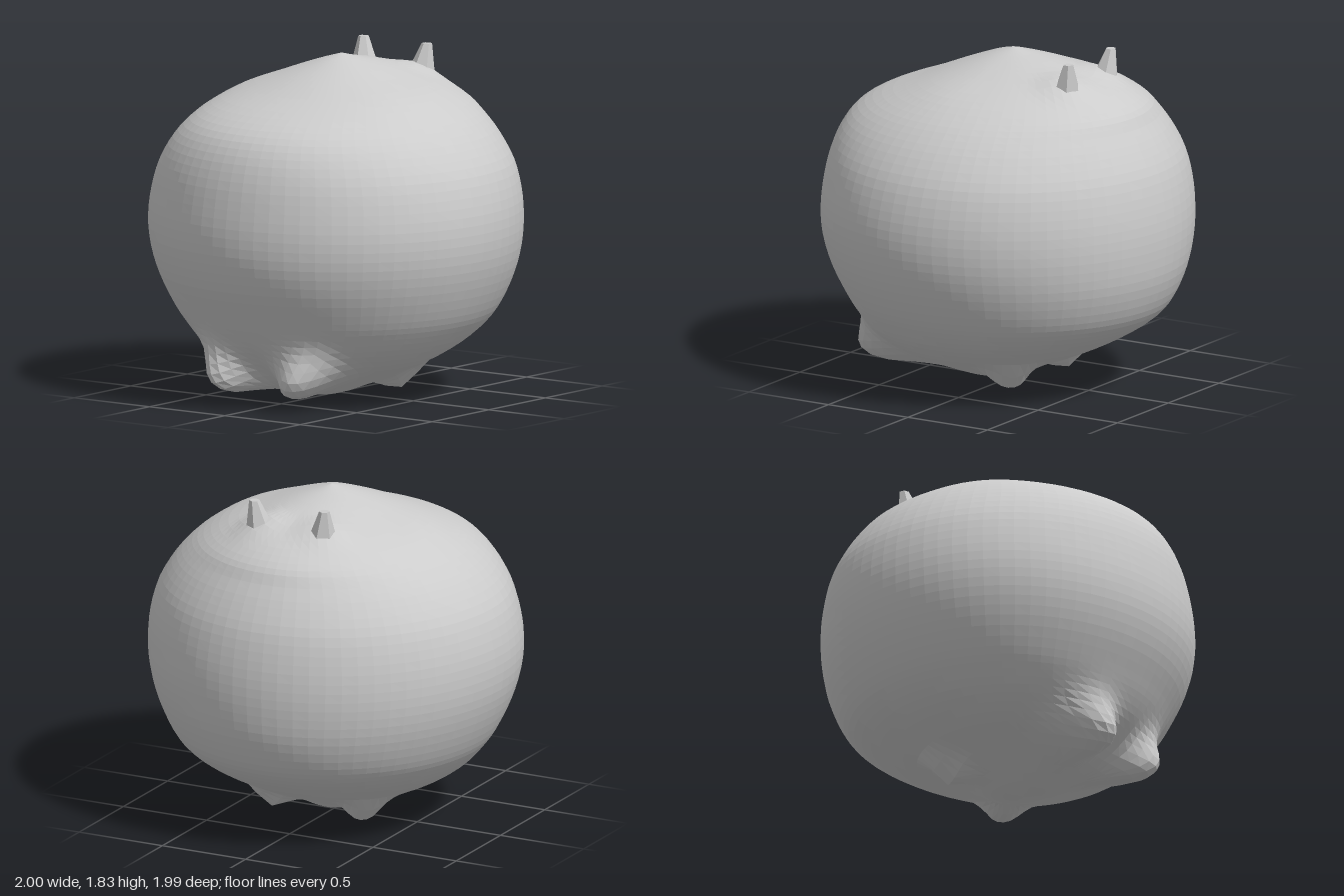
import * as THREE from 'three';

// Body outline: height, half width, front z, back z, z of the widest point
const ROWS = [
  [0.0, 0.0, 0.1, 0.1, 0.1],
  [0.03, 0.13, 0.3, -0.08, 0.1],
  [0.1, 0.3, 0.5, -0.22, 0.1],
  [0.2, 0.54, 0.64, -0.47, 0.08],
  [0.3, 0.7, 0.74, -0.67, 0.06],
  [0.4, 0.8, 0.81, -0.82, 0.04],
  [0.5, 0.87, 0.865, -0.9, 0.04],
  [0.65, 0.94, 0.94, -0.96, 0.04],
  [0.8, 0.985, 0.985, -0.985, 0.04],
  [0.95, 1.0, 0.995, -0.99, 0.04],
  [1.1, 0.985, 0.98, -0.975, 0.03],
  [1.25, 0.94, 0.95, -0.94, 0.02],
  [1.38, 0.86, 0.9, -0.88, 0.01],
  [1.48, 0.77, 0.82, -0.82, 0.0],
  [1.56, 0.67, 0.68, -0.77, 0.0],
  [1.64, 0.53, 0.47, -0.66, 0.0],
  [1.71, 0.34, 0.3, -0.5, -0.02],
  [1.76, 0.2, 0.17, -0.32, -0.03],
  [1.795, 0.09, 0.07, -0.14, -0.03],
  [1.82, 0.0, -0.03, -0.03, -0.03],
];

// Soft mirrored pushes: centre, reach on each axis, offset
const PUSHES = [
  { at: [0.25, 0.17, 0.54], reach: [0.15, 0.24, 0.17], by: [0, -0.08, 0.2] }, // front feet
  { at: [0.28, 0.14, -0.17], reach: [0.11, 0.12, 0.12], by: [0, -0.1, -0.02] }, // back feet
  { at: [0.19, 1.68, -0.47], reach: [0.13, 0.12, 0.13], by: [0, 0.03, 0] }, // horn bases
];

function createBody(material) {
  const column = (c) => new THREE.SplineCurve(ROWS.map((r, i) => new THREE.Vector2(i, r[c])));
  const curves = [0, 1, 2, 3, 4].map(column);
  const geometry = new THREE.SphereGeometry(1, 72, 57);
  const pos = geometry.attributes.position;
  const uv = geometry.attributes.uv;
  const p = new THREE.Vector3();

  for (let i = 0; i < pos.count; i++) {
    const [y, w, zf, zb, cz] = curves.map((c) => c.getPoint(uv.getY(i)).y);
    const angle = Math.atan2(pos.getX(i), pos.getZ(i));
    const c = Math.cos(angle);
    p.set(w * Math.sin(angle), y, cz + c * (c > 0 ? zf - cz : cz - zb));

    // Pull the feet and horn bases out of the round body
    const q = p.clone();
    for (const { at, reach, by } of PUSHES) {
      const d = Math.hypot(
        (Math.abs(p.x) - at[0]) / reach[0],
        (p.y - at[1]) / reach[1],
        (p.z - at[2]) / reach[2]
      );
      const k = Math.exp(-Math.pow(d, 2.6));
      q.x += by[0] * k * Math.sign(p.x);
      q.y += by[1] * k;
      q.z += by[2] * k;
    }
    pos.setXYZ(i, q.x, Math.max(q.y, 0), q.z);
  }
  geometry.computeVertexNormals();
  const body = new THREE.Mesh(geometry, material);
  body.name = 'body';
  return body;
}

// Blunt six-sided horn that leans outward and back
function createHorn(side, material) {
  const geometry = new THREE.CylinderGeometry(0.028, 0.088, 0.2, 6, 2);
  const pos = geometry.attributes.position;
  for (let i = 0; i < pos.count; i++) {
    const t = pos.getY(i) / 0.2 + 0.5;
    pos.setX(i, side * (0.18 + 0.03 * t) + pos.getX(i));
    pos.setZ(i, -0.475 - 0.03 * t + pos.getZ(i));
    pos.setY(i, 1.63 + 0.2 * t);
  }
  geometry.computeVertexNormals();
  const horn = new THREE.Mesh(geometry, material);
  horn.name = side > 0 ? 'leftHorn' : 'rightHorn';
  return horn;
}

export function createModel() {
  const model = new THREE.Group();
  model.name = 'roundCreature';
  const material = new THREE.MeshStandardMaterial({ color: 0xcccccc, flatShading: true });
  model.add(createBody(material));
  for (const side of [-1, 1]) model.add(createHorn(side, material));
  return model;
}
